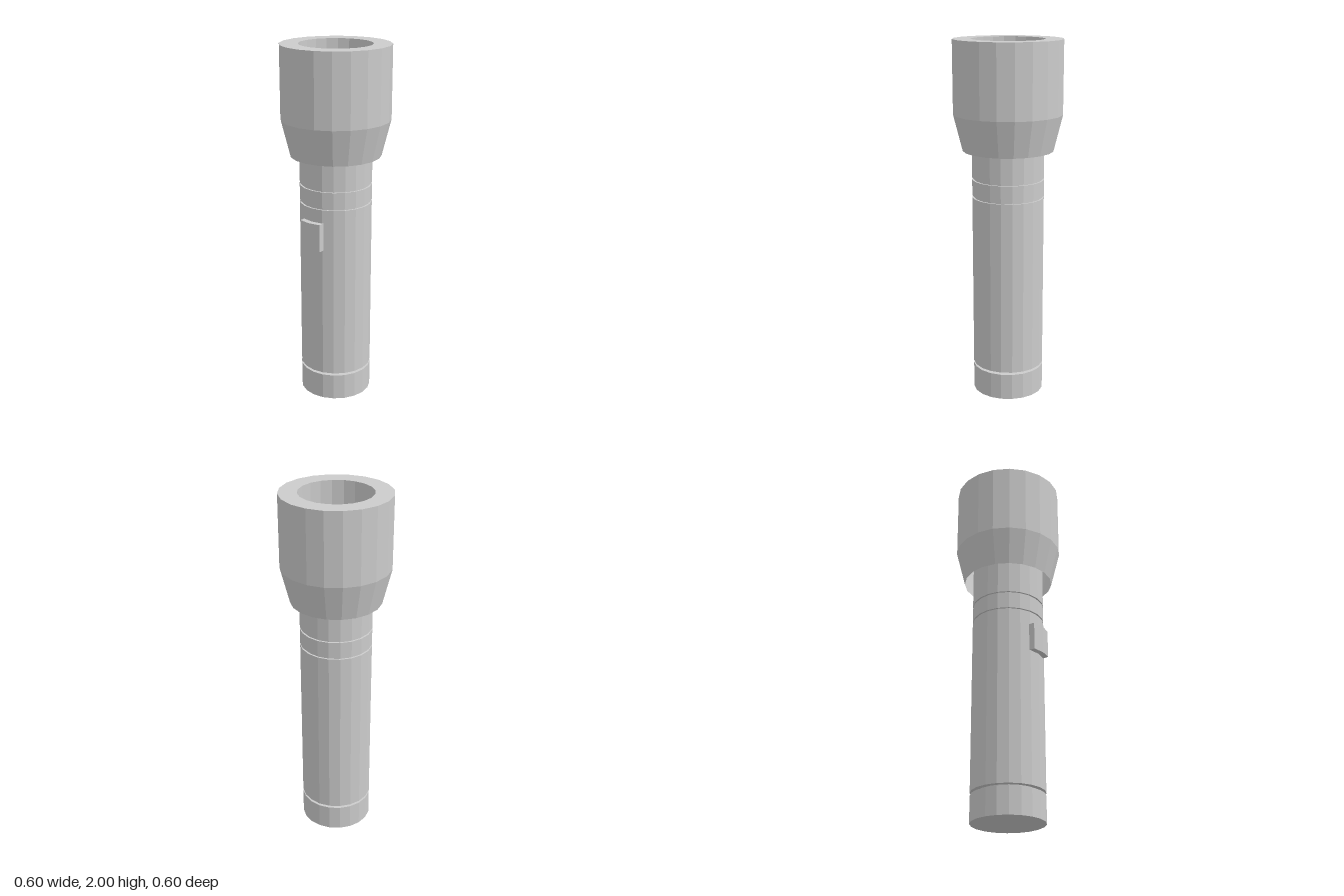
import * as THREE from 'three';

const SIDES = 20;
const material = new THREE.MeshStandardMaterial({
  color: 0xcccccc, flatShading: true, side: THREE.DoubleSide,
});

// Faceted turned part from [radius, height] pairs
function turned(name, profile) {
  const points = profile.map(([r, y]) => new THREE.Vector2(r, y));
  const mesh = new THREE.Mesh(new THREE.LatheGeometry(points, SIDES), material);
  mesh.name = name;
  return mesh;
}

// Profile points of a groove cut into the barrel
const groove = (y, depth, height, radius = 0.2) => [
  [radius, y - height / 2], [radius - depth, y - height / 2],
  [radius - depth, y + height / 2], [radius, y + height / 2],
];

export function createModel() {
  const model = new THREE.Group();
  model.name = 'flashlight';

  // Barrel with a tail cap groove and two neck grooves, closed at both ends
  model.add(turned('barrel', [
    [0, 0], [0.2, 0],
    ...groove(0.155, 0.03, 0.014),
    ...groove(1.145, 0.01, 0.01),
    ...groove(1.245, 0.01, 0.01),
    [0.2, 1.4], [0, 1.4],
  ]));

  // Head: flared skirt open below, flat rim, and straight bore down to the barrel
  model.add(turned('head', [
    [0.25, 1.4], [0.3, 1.6], [0.3, 2], [0.2, 2], [0.2, 1.4],
  ]));

  // Switch: raised pad that follows the barrel facets
  const outline = [[-0.068, 0.18], [0.068, 0.18], [0.068, 0.22], [0, 0.232], [-0.068, 0.22]];
  const pad = new THREE.Shape(outline.map(([x, z]) => new THREE.Vector2(x, -z)));
  const padGeometry = new THREE.ExtrudeGeometry(pad, { depth: 0.155, bevelEnabled: false });
  padGeometry.rotateX(-Math.PI / 2);
  const button = new THREE.Mesh(padGeometry, material);
  button.name = 'switch';
  button.position.y = 0.91;
  model.add(button);

  return model;
}
